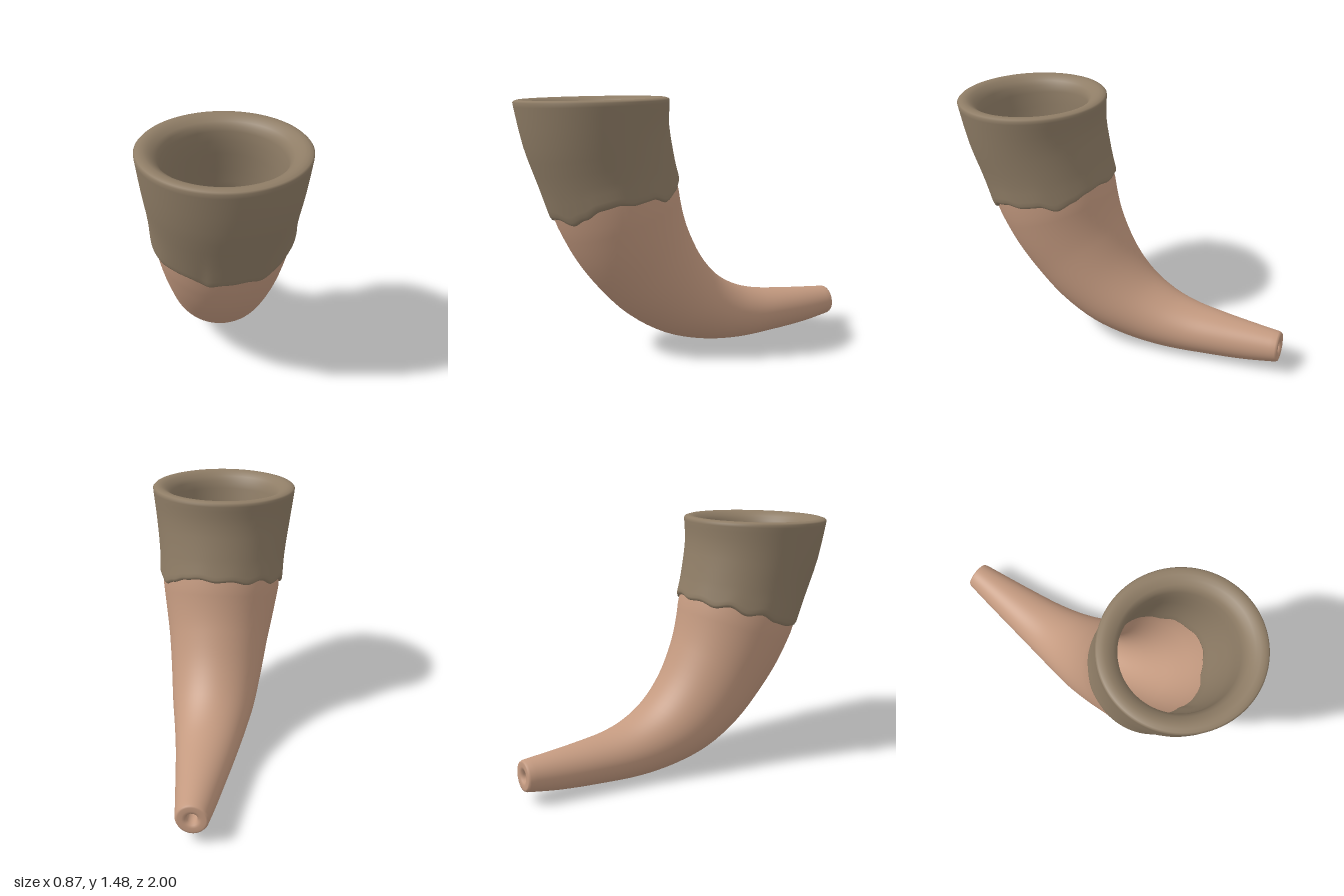
import * as THREE from 'three';

// Horn stations from mouth to tip: outer bend z,y / inner bend z,y / half width in x
const STATIONS = [
  [1.0, 1.46, 0.15, 1.475, 0.438], [0.95, 1.22, 0.153, 1.34, 0.415],
  [0.885, 1.03, 0.125, 1.18, 0.393], [0.80, 0.82, 0.1, 1.02, 0.37],
  [0.68, 0.58, 0.07, 0.865, 0.338], [0.54, 0.39, 0.03, 0.74, 0.308],
  [0.38, 0.23, -0.06, 0.56, 0.28], [0.17, 0.1, -0.18, 0.42, 0.25],
  [-0.06, 0.03, -0.32, 0.335, 0.212], [-0.3, 0.004, -0.46, 0.293, 0.178],
  [-0.55, 0.014, -0.65, 0.27, 0.145], [-0.8, 0.036, -0.82, 0.257, 0.115],
  [-1.0, 0.07, -0.99, 0.245, 0.088],
];
const LAST = STATIONS.length - 1;
const curve = (f) => new THREE.CatmullRomCurve3(STATIONS.map(f));
const outerBend = curve((s) => new THREE.Vector3(s[4], s[1], s[0]));
const innerBend = curve((s) => new THREE.Vector3(s[4], s[3], s[2]));

// Height offsets of the ragged collar edge, every 15 degrees from the front towards +x
const RAGGED = [0.01, 0.015, -0.012, 0.01, 0.04, 0.045, 0.02, 0.015, -0.035, -0.015, 0.01, 0.02,
  0, 0.01, -0.01, 0.02, -0.01, 0.015, -0.01, -0.015, -0.01, 0, 0.005, -0.012];
const ragged = (turn) => {
  const t = turn * RAGGED.length, i = Math.floor(t), f = THREE.MathUtils.smoothstep(t - i, 0, 1);
  return THREE.MathUtils.lerp(RAGGED[i % 24], RAGGED[(i + 1) % 24], f);
};
// Shallow dent in the collar, front right, near the edge
const dent = (turn) => THREE.MathUtils.smoothstep(turn, 0.83, 0.9)
  * (1 - THREE.MathUtils.smoothstep(turn, 0.945, 0.97)) * 0.03;

// Sweep a closed wall profile of [station, scale, lift, edge weight] around the horn
function sweep(name, color, profile, segments) {
  const pos = [], index = [], rows = profile.length;
  for (const [v, scale, lift = 0, w = 0] of profile) {
    for (let j = 0; j < segments; j++) {
      const turn = j / segments, a = turn * Math.PI * 2;
      const u = THREE.MathUtils.clamp((v - w * ragged(turn) / 0.19) / LAST, 0, 1);
      const o = outerBend.getPoint(u), i = innerBend.getPoint(u);
      const s = scale - w * dent(turn), c = Math.cos(a) * s / 2;
      pos.push(o.x * s * Math.sin(a),
        (o.y + i.y) / 2 + (o.y - i.y) * c + lift,
        (o.z + i.z) / 2 + (o.z - i.z) * c);
    }
  }
  for (let k = 0; k < rows; k++) {
    const k2 = (k + 1) % rows;
    for (let j = 0; j < segments; j++) {
      const j2 = (j + 1) % segments;
      const p = k * segments + j, q = k * segments + j2;
      const r = k2 * segments + j2, t = k2 * segments + j;
      index.push(p, q, r, p, r, t);
    }
  }
  const geo = new THREE.BufferGeometry();
  geo.setAttribute('position', new THREE.Float32BufferAttribute(pos, 3));
  geo.setIndex(index);
  geo.computeVertexNormals();
  const mesh = new THREE.Mesh(geo, new THREE.MeshStandardMaterial({ color }));
  mesh.name = name;
  return mesh;
}

export function createModel() {
  const group = new THREE.Group();
  group.name = 'drinkingHorn';

  // Hollow horn: tip hole, outer wall up to under the collar, inner wall back down
  const horn = [[11.6, 0.28], [11.9, 0.32], [11.98, 0.42], [12, 0.6], [12, 0.85], [11.99, 0.95], [11.93, 1]];
  for (let v = 11.75; v > 3; v -= 0.25) horn.push([v, 1]);
  horn.push([2.8, 0.98], [2.4, 0.95], [2, 0.9], [2, 0.84], [2.4, 0.8]);
  for (let v = 3; v < 11.3; v += 0.5) horn.push([v, 0.8 - (v - 3) * 0.058]);
  group.add(sweep('horn', 0xc49a80, horn, 64));

  // Collar: ragged lower edge, outer wall, rounded rim, inner lining
  const collar = [
    [3.02, 0.96, 0, 1], [3.03, 1.0, 0, 1], [3.0, 1.025, 0, 1], [2.93, 1.035, 0, 1], [2.8, 1.03, 0, 0.9],
    [2.5, 1.015, 0, 0.5], [2.2, 1.005, 0, 0.2], [1.8, 1], [1.4, 1], [1, 1], [0.6, 1], [0.3, 1], [0.1, 1],
    [0, 0.998], [0, 0.98, 0.008], [0, 0.94, 0.013], [0, 0.89, 0.012], [0, 0.84, 0.002], [0.08, 0.79],
    [0.2, 0.755], [0.4, 0.74], [0.8, 0.745], [1.3, 0.75], [2, 0.76, 0, 0.1], [2.5, 0.76, 0, 0.5],
    [2.9, 0.765, 0, 1], [2.98, 0.78, 0, 1], [3, 0.82, 0, 1],
  ];
  group.add(sweep('collar', 0x8f7d66, collar, 144));
  return group;
}
